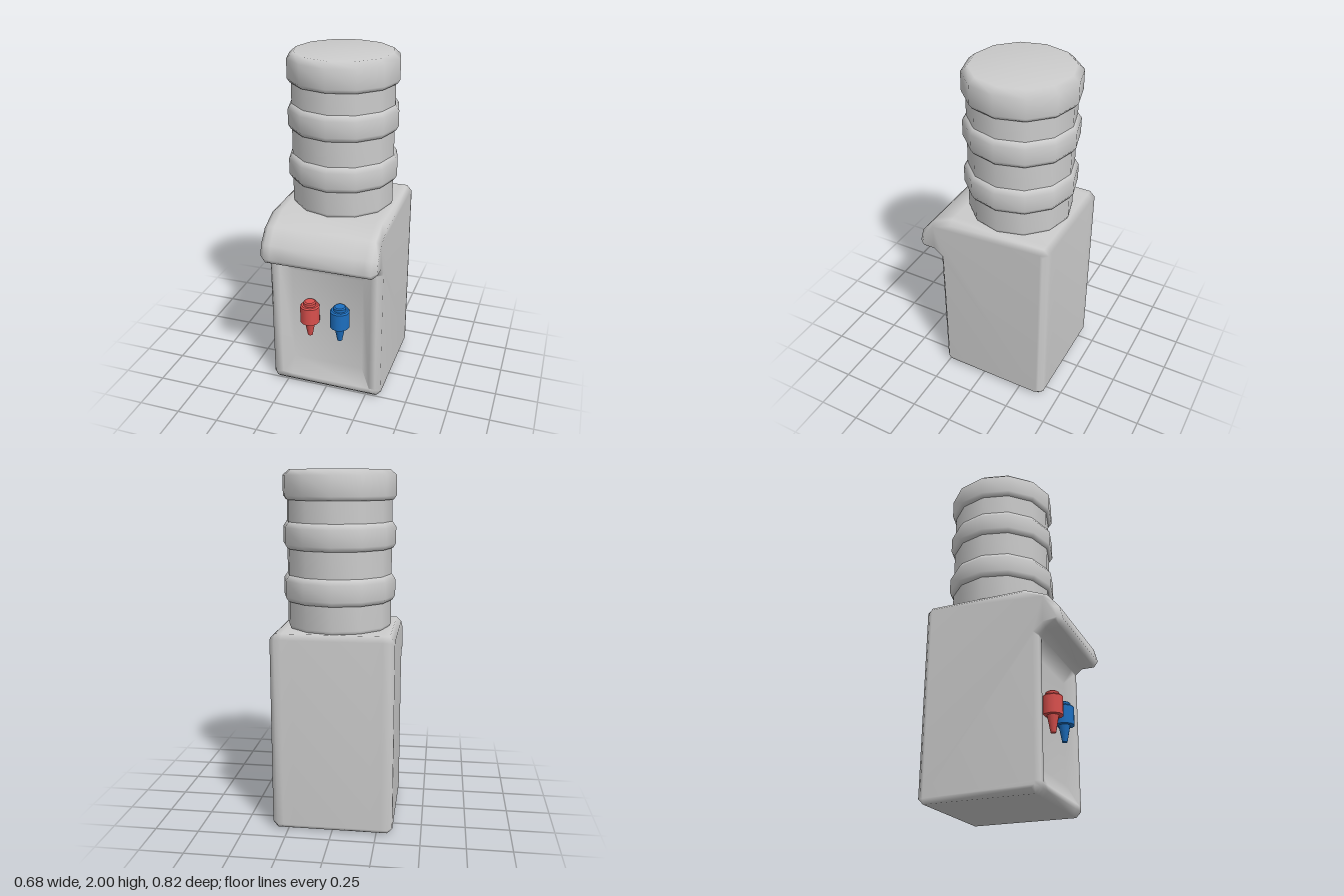
import * as THREE from 'three';
import { mergeVertices } from 'three/addons/utils/BufferGeometryUtils.js';

const material = (name, color) => {
  const m = new THREE.MeshStandardMaterial({ color });
  m.name = name;
  return m;
};

// Side profile as [z, y]; t = 0 gives a flat front, t = 1 the sunken panel.
const profile = (t) => [
  [-0.38, 0], [0.24, 0], [0.27, 0.03],
  [0.27, 0.06], [0.27 - 0.05 * t, 0.062 + 0.1 * t],
  [0.27 - 0.05 * t, 0.838 - 0.07 * t], [0.27, 0.84],
  [0.27, 0.85], [0.31, 0.883], [0.385, 0.883], [0.41, 0.915], [0.39, 0.995],
  [0.32, 1.08], [0.19, 1.133], [-0.38, 1.133], [-0.41, 1.103], [-0.41, 0.03],
];

// Shrinks a counter-clockwise outline by d along mitred corners.
function inset(points, d) {
  const normal = (a, b) => new THREE.Vector2(a[1] - b[1], b[0] - a[0]).normalize();
  const n = points.length;
  return points.map((p, i) => {
    const n1 = normal(points[(i + n - 1) % n], p);
    const n2 = normal(p, points[(i + 1) % n]);
    const k = d / (1 + n1.dot(n2));
    return [p[0] + (n1.x + n2.x) * k, p[1] + (n1.y + n2.y) * k];
  });
}

// Cabinet skin: profile slices across x, with bevelled and capped ends.
function cabinetGeometry() {
  const flat = profile(0), sunk = profile(1), end = inset(flat, 0.025);
  const slices = [
    [-0.34, end], [-0.312, flat], [-0.275, flat], [-0.215, sunk],
    [0.215, sunk], [0.275, flat], [0.312, flat], [0.34, end],
  ];
  const n = flat.length, positions = [], index = [];
  for (const [x, pts] of slices) for (const [z, y] of pts) positions.push(x, y, z);
  for (let i = 0; i < slices.length - 1; i++) {
    for (let j = 0; j < n; j++) {
      const a = i * n + j, b = i * n + (j + 1) % n;
      index.push(a, a + n, b, b, a + n, b + n);
    }
  }
  const last = (slices.length - 1) * n;
  const cap = THREE.ShapeUtils.triangulateShape(end.map((p) => new THREE.Vector2(...p)), []);
  for (const [a, b, c] of cap) index.push(a, b, c, last + a, last + c, last + b);
  const g = new THREE.BufferGeometry();
  g.setAttribute('position', new THREE.Float32BufferAttribute(positions, 3));
  g.setIndex(index);
  g.computeVertexNormals();
  return g;
}

// Turned part with soft, area-weighted normals.
function turned(points, sides) {
  let g = new THREE.LatheGeometry(points.map(([r, y]) => new THREE.Vector2(r, y)), sides);
  g.deleteAttribute('normal');
  g.deleteAttribute('uv');
  g = mergeVertices(g, 1e-5);
  g.computeVertexNormals();
  return g;
}

export function createModel() {
  const model = new THREE.Group();
  model.name = 'waterDispenser';
  const grey = material('light grey', 0xcccccc);
  const red = material('hot red', 0xd9504d);
  const blue = material('cold blue', 0x1d6fc0);

  const add = (parent, name, geometry, mat) => {
    const mesh = new THREE.Mesh(geometry, mat);
    mesh.name = name;
    parent.add(mesh);
    return mesh;
  };

  add(model, 'cabinet', cabinetGeometry(), grey);

  // Bottle: a plain core with three raised bands, the top one closing it
  const bottle = new THREE.Group();
  bottle.name = 'bottle';
  bottle.position.z = -0.083;
  model.add(bottle);
  add(bottle, 'bottleCore', turned([[0, 1.12], [0.28, 1.12], [0.295, 1.15], [0.295, 1.9]], 12), grey);
  for (const y of [1.285, 1.575]) {
    add(bottle, 'bottleBand', turned([
      [0.28, y], [0.302, y], [0.317, y + 0.025], [0.317, y + 0.115], [0.297, y + 0.145], [0.28, y + 0.145],
    ], 12), grey);
  }
  add(bottle, 'bottleTop', turned([
    [0.28, 1.838], [0.302, 1.838], [0.317, 1.86], [0.317, 1.968], [0.28, 2], [0, 2],
  ], 12), grey);

  // Taps: spout, barrel and push button
  for (const [name, x, mat] of [['hotTap', -0.095, red], ['coldTap', 0.09, blue]]) {
    const tap = new THREE.Group();
    tap.name = name;
    tap.position.set(x, 0, 0.262);
    model.add(tap);
    add(tap, 'spout', new THREE.CylinderGeometry(0.034, 0.015, 0.1, 12), mat).position.y = 0.42;
    add(tap, 'barrel', new THREE.CylinderGeometry(0.058, 0.058, 0.104, 12), mat).position.y = 0.517;
    add(tap, 'barrelEdge', new THREE.CylinderGeometry(0.05, 0.058, 0.008, 12), mat).position.y = 0.573;
    add(tap, 'button', new THREE.CylinderGeometry(0.038, 0.038, 0.02, 12), mat).position.y = 0.584;
    add(tap, 'buttonEdge', new THREE.CylinderGeometry(0.03, 0.038, 0.006, 12), mat).position.y = 0.597;
  }
  return model;
}
